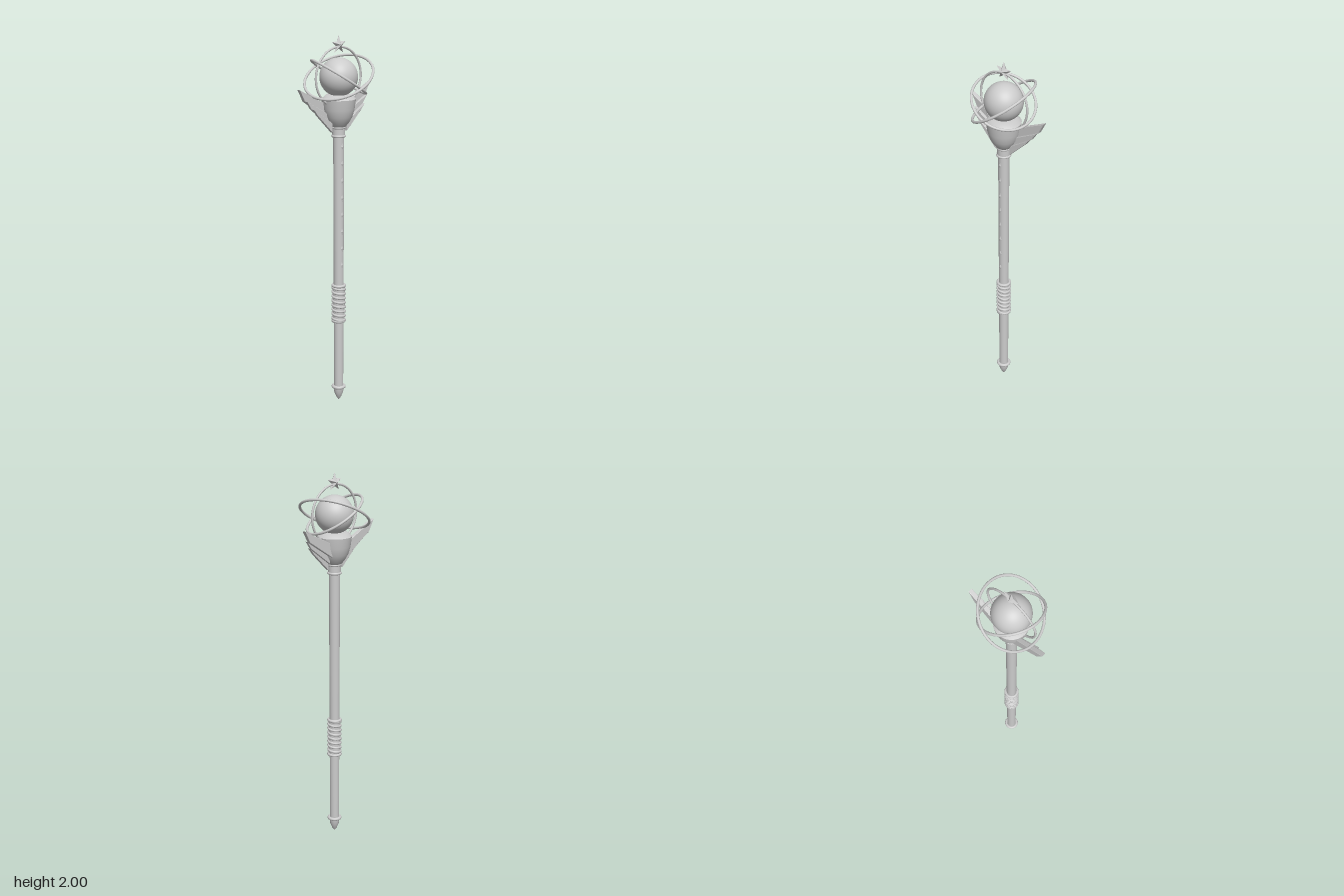
import * as THREE from 'three';

const smooth = new THREE.MeshStandardMaterial({ color: 0xcccccc });
const flat = new THREE.MeshStandardMaterial({ color: 0xcccccc, flatShading: true });

export function createModel() {
  const model = new THREE.Group();
  model.name = 'sceptre';

  const add = (name, geometry, y = 0, material = smooth, parent = model) => {
    const mesh = new THREE.Mesh(geometry, material);
    mesh.name = name;
    mesh.position.y = y;
    parent.add(mesh);
    return mesh;
  };
  const lathe = (points, segments = 40) =>
    new THREE.LatheGeometry(points.map(([r, y]) => new THREE.Vector2(r, y)), segments);
  const band = (name, radius, tube, y) =>
    add(name, new THREE.TorusGeometry(radius, tube, 12, 40), y).rotateX(Math.PI / 2);

  // Shaft, slightly wider towards the top
  add('shaft', new THREE.CylinderGeometry(0.029, 0.025, 1.43, 32), 0.785);

  // Pointed foot with its ring
  add('footTip', lathe([[0, 0], [0.013, 0.018], [0.024, 0.045], [0.028, 0.07], [0.028, 0.08], [0, 0.08]]));
  band('footRing', 0.03, 0.009, 0.08);

  // Grip: core, end rings and a spiral wrap
  const gripBottom = 0.463, gripTop = 0.662, turns = 8;
  add('gripCore', new THREE.CylinderGeometry(0.033, 0.033, gripTop - gripBottom, 32), (gripBottom + gripTop) / 2);
  band('gripLowerRing', 0.032, 0.008, gripBottom);
  band('gripUpperRing', 0.032, 0.008, gripTop);
  const coil = [];
  for (let i = 0; i <= turns * 16; i++) {
    const a = (i / 16) * Math.PI * 2;
    const y = THREE.MathUtils.lerp(gripBottom, gripTop, i / (turns * 16));
    coil.push(new THREE.Vector3(0.033 * Math.cos(a), y, 0.033 * Math.sin(a)));
  }
  add('gripWrap', new THREE.TubeGeometry(new THREE.CatmullRomCurve3(coil), 320, 0.007, 8));

  // Row of small diamond studs down the front of the shaft
  for (let i = 0; i < 8; i++) {
    const y = 0.78 + i * 0.092;
    const stud = add('stud', new THREE.OctahedronGeometry(1), y, flat);
    stud.scale.set(0.009, 0.018, 0.004);
    stud.position.z = 0.025 + 0.004 * (y - 0.07) / 1.43;
  }

  // Collar
  add('collar', new THREE.CylinderGeometry(0.034, 0.034, 0.045, 32), 1.5);
  band('collarLowerRing', 0.032, 0.007, 1.478);
  band('collarUpperRing', 0.032, 0.007, 1.523);

  // Cup holding the orb
  add('cup', lathe([[0, 1.525], [0.035, 1.525], [0.055, 1.55], [0.072, 1.58], [0.083, 1.62], [0.09, 1.672]]));
  add('cupRim', lathe([[0.09, 1.672], [0.066, 1.694], [0, 1.694]]));

  // Orb
  add('orb', new THREE.SphereGeometry(0.1, 48, 32), 1.785);

  // Orbit rings: one upright, two tilted opposite ways
  add('uprightRing', new THREE.TorusGeometry(0.154, 0.006, 10, 80), 1.785);
  [[0.182, -1], [0.164, 1]].forEach(([radius, side]) => {
    const ring = add('tiltedRing', new THREE.TorusGeometry(radius, 0.007, 10, 80), 1.785);
    const normal = new THREE.Vector3(side * 0.5, 0.84, 0.21).normalize();
    ring.quaternion.setFromUnitVectors(new THREE.Vector3(0, 0, 1), normal);
  });

  // Wings: three layered feathers per side, [outline, back z, thickness]
  const feathers = [
    [[[0.24, 1.735], [0.05, 1.64], [0.05, 1.57], [0.207, 1.672]], -0.045, 0.023],
    [[[0.207, 1.675], [0.05, 1.59], [0.05, 1.535], [0.178, 1.632]], -0.022, 0.016],
    [[[0.175, 1.632], [0.05, 1.55], [0.05, 1.5], [0.148, 1.597]], -0.008, 0.018],
  ];
  for (const side of [1, -1]) {
    const wing = new THREE.Group();
    wing.name = side > 0 ? 'leftWing' : 'rightWing';
    model.add(wing);
    for (const [outline, z, depth] of feathers) {
      const shape = new THREE.Shape(outline.map(([x, y]) => new THREE.Vector2(side * x, y)));
      const bevel = 0.002;
      const geometry = new THREE.ExtrudeGeometry(shape, {
        depth: depth - 2 * bevel, bevelThickness: bevel, bevelSize: bevel, bevelOffset: -bevel, bevelSegments: 1,
      });
      add('feather', geometry, 0, flat, wing).position.z = z + bevel;
    }
  }

  // Faceted five-pointed star: ten rim points joined to a front and a back peak
  const rim = [];
  for (let i = 0; i < 10; i++) {
    const a = Math.PI / 2 + (i * Math.PI) / 5, r = i % 2 ? 0.021 : 0.05;
    rim.push([r * Math.cos(a), r * Math.sin(a), 0]);
  }
  const corners = [];
  rim.forEach((p, i) => {
    const q = rim[(i + 1) % 10];
    corners.push(...p, ...q, 0, 0, 0.021, ...q, ...p, 0, 0, -0.021);
  });
  const star = new THREE.BufferGeometry();
  star.setAttribute('position', new THREE.Float32BufferAttribute(corners, 3));
  star.computeVertexNormals();
  add('star', star, 1.95, flat);

  return model;
}
